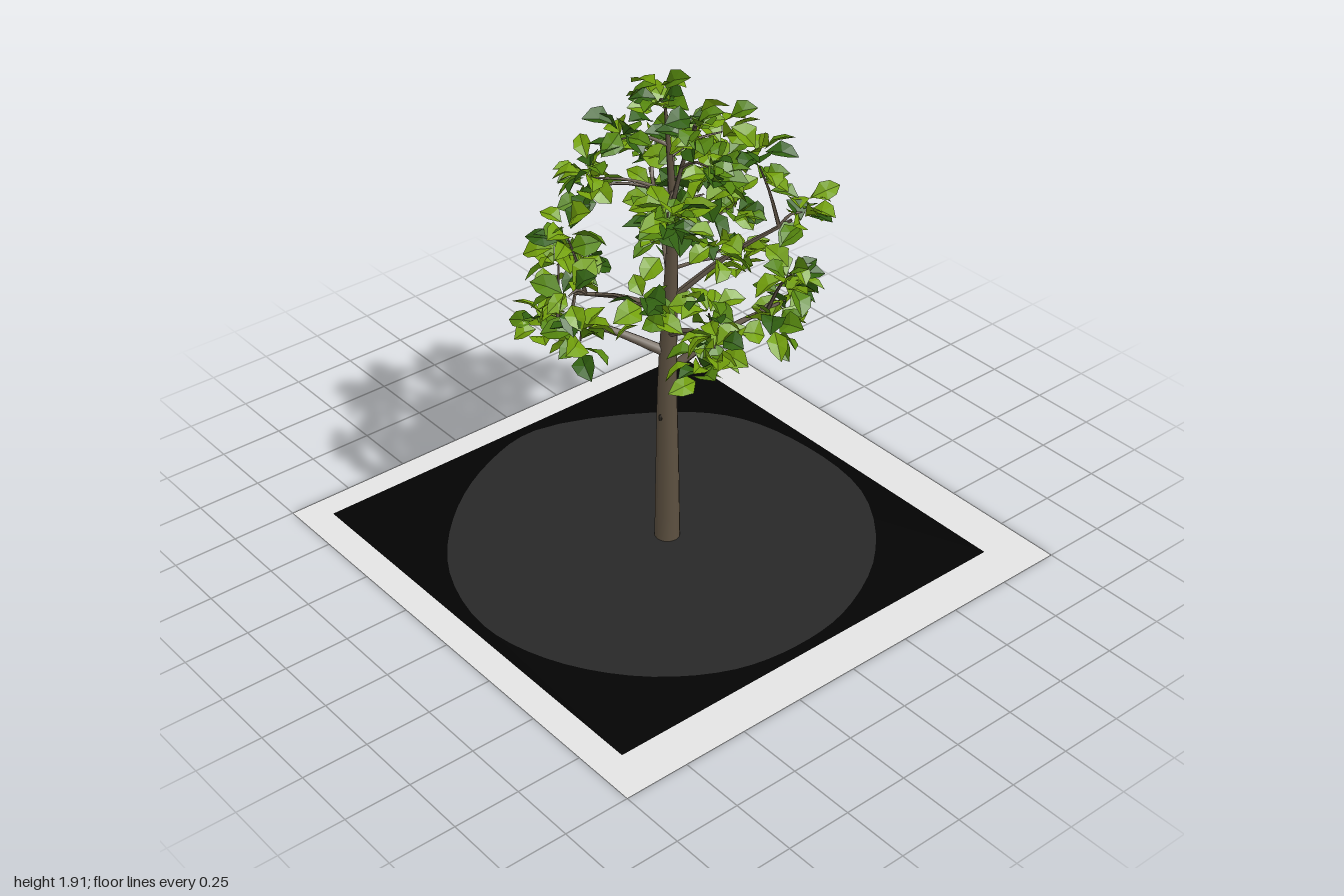
import * as THREE from 'three';
import { mergeGeometries } from 'three/addons/utils/BufferGeometryUtils.js';

const mat = (name, color, flatShading = false) => {
  const m = new THREE.MeshStandardMaterial({ color, flatShading, side: THREE.DoubleSide });
  m.name = name;
  return m;
};

// small seeded generator
let seed = 11;
const rnd = (a = 0, b = 1) => {
  seed = (seed * 16807) % 2147483647;
  return a + (b - a) * (seed / 2147483647);
};
const V = (x, y, z) => new THREE.Vector3(x, y, z);

// tapered limb: a tube whose rings shrink from r0 to r1
function limb(curve, r0, r1, sides = 6, steps = 8, power = 1) {
  const g = new THREE.TubeGeometry(curve, steps, 1, sides, false);
  const p = g.attributes.position, v = V(0, 0, 0);
  for (let i = 0; i < p.count; i++) {
    const t = Math.floor(i / (sides + 1)) / steps, c = curve.getPointAt(t);
    v.fromBufferAttribute(p, i).sub(c).multiplyScalar(r0 + (r1 - r0) * t ** power).add(c);
    p.setXYZ(i, v.x, v.y, v.z);
  }
  g.computeVertexNormals();
  return g;
}

// one broad leaf along +z, folded on its midrib, tip drooping
function leaf(len, wide) {
  const g = new THREE.BufferGeometry();
  const f = wide * 0.3;
  g.setAttribute('position', new THREE.Float32BufferAttribute([
    0, 0, 0, -wide / 2, f, len * 0.4, wide / 2, f, len * 0.4,
    0, 0.006, len * 0.5, -wide * 0.4, f * 0.5, len * 0.74, wide * 0.4, f * 0.5, len * 0.74,
    0, -len * 0.12, len], 3));
  g.setIndex([0, 3, 1, 0, 2, 3, 1, 3, 4, 3, 2, 5, 4, 3, 6, 3, 5, 6]);
  return g;
}

// main limbs: height on the trunk, then the end point and thickness
const limbs = [
  [0.7, -0.3, 1.0, -0.27, 0.022], [0.72, 0.22, 0.98, -0.33, 0.02], [0.8, -0.27, 0.95, 0.33, 0.021],
  [0.88, 0.33, 1.02, 0.05, 0.016], [0.96, 0, 1.2, 0.4, 0.015], [1.02, 0.3, 1.36, -0.3, 0.014],
  [1.08, -0.3, 1.36, -0.17, 0.013], [1.4, 0.17, 1.77, 0.02, 0.009],
];

// centres of the foliage clusters
const clusters = [
  [-0.38, 1.03, 0.08], [-0.27, 0.95, 0.34], [0.37, 1.06, 0.1], [0.3, 0.96, 0.1],
  [0.02, 1.04, 0.4], [0.33, 1.0, -0.2], [0.2, 0.98, -0.38], [-0.33, 1.03, -0.25],
  [-0.1, 1.0, -0.42], [-0.38, 1.2, -0.24], [-0.15, 1.2, -0.45], [0.36, 1.2, 0.12],
  [0.37, 1.22, -0.24], [-0.25, 1.2, 0.28], [0.22, 1.22, 0.28], [0, 1.22, 0.43],
  [-0.33, 1.4, -0.2], [0.31, 1.4, -0.34], [-0.04, 1.42, 0.4], [0.33, 1.4, 0.06],
  [-0.13, 1.38, -0.37], [0.1, 1.4, 0.06], [-0.32, 1.38, 0.1], [-0.17, 1.52, 0.2],
  [0.18, 1.5, 0.15], [0.22, 1.58, -0.22], [-0.14, 1.54, -0.15], [0.04, 1.43, -0.13],
  [-0.1, 1.67, 0.12], [0.21, 1.65, 0], [0.05, 1.65, -0.2], [-0.04, 1.8, 0], [0.17, 1.79, 0.02],
];

export function createModel() {
  const model = new THREE.Group();
  const bark = mat('bark', 0x5c5040), twig = mat('branch bark', 0x665a4c);
  const knot = mat('dark bark', 0x2e2922);
  const light = mat('light leaf', 0x74a20c, true), mid = mat('mid leaf', 0x55860e, true);
  const dark = mat('dark leaf', 0x305f10, true);
  const pale = mat('pale paving', 0xe4e4e4), black = mat('black soil', 0x030303);
  const grey = mat('dark grey bed', 0x282828);
  const add = (name, geo, material, parent = model) => {
    const m = new THREE.Mesh(geo, material);
    m.name = name;
    parent.add(m);
    return m;
  };

  // ground: nested flat rings lying side by side, outlines given as x, z
  const outline = (pts) => pts.map(([x, z]) => new THREE.Vector2(x, -z));
  const rect = (x0, x1, z0, z1) => outline([[x0, z0], [x0, z1], [x1, z1], [x1, z0]]);
  const bedCurve = new THREE.CatmullRomCurve3([
    [-0.855, -0.03], [-0.64, -0.49], [-0.42, -0.7], [-0.1, -0.78], [0.27, -0.74],
    [0.58, -0.51], [0.75, -0.2], [0.785, 0.06], [0.74, 0.32], [0.57, 0.58], [0.3, 0.77],
    [0, 0.84], [-0.34, 0.75], [-0.61, 0.53], [-0.79, 0.25]].map(([x, z]) => V(x, 0, z)), true);
  const bed = outline(bedCurve.getPoints(64).slice(0, 64).map((p) => [p.x, p.z]));
  const hole = new THREE.Path().absarc(0, 0, 0.046, 0, Math.PI * 2).getPoints(10);
  const soil = rect(-0.9, 0.83, -0.825, 0.885);
  const slab = (name, outer, inner, material) => {
    const s = new THREE.Shape(outer);
    s.holes.push(new THREE.Path(inner));
    add(name, new THREE.ShapeGeometry(s).rotateX(-Math.PI / 2), material);
  };
  slab('groundBorder', rect(-1, 1, -1, 1), soil, pale);
  slab('groundSquare', soil, bed, black);
  slab('groundBed', bed, hole, grey);

  // trunk, open at the foot, with a few knots
  const trunk = new THREE.CatmullRomCurve3([[0, 0, 0], [0, 0.35, 0], [0, 0.7, 0],
    [0.005, 1.05, -0.01], [0.01, 1.4, -0.015], [-0.01, 1.76, 0]].map((p) => V(...p)));
  add('trunk', limb(trunk, 0.048, 0.005, 12, 16, 1.3), bark);
  for (const [x, y, z] of [[-0.039, 0.24, 0.01], [0.005, 0.54, 0.033], [0.005, 0.44, -0.036]]) {
    add('knot', new THREE.IcosahedronGeometry(0.011, 0).scale(1, 1.8, 1), knot).position.set(x, y, z);
  }

  // main limbs leave the trunk and curve upward
  const joints = trunk.getPoints(40).filter((p) => p.y > 0.9);
  for (const [y0, x, y, z, thick] of limbs) {
    const a = trunk.getPointAt(y0 / 1.76), end = V(x, y, z);
    const curve = new THREE.CatmullRomCurve3([a, a.clone().lerp(end, 0.5).add(V(0, 0.025, 0)), end]);
    add('limb', limb(curve, thick, 0.006, 7), twig);
    joints.push(...curve.getPoints(10).slice(3, 10));
  }

  // each cluster hangs on a twig from the nearest joint below it, leaves radiate from its end
  const up = V(0, 1, 0);
  for (const [x, y, z] of clusters) {
    const r = Math.hypot(x, z), end = V(x, y - 0.02, z);
    const cost = (p) => p.distanceTo(end) + 3 * Math.max(0, p.y - end.y + 0.03);
    const a = joints.reduce((best, p) => (cost(p) < cost(best) ? p : best));
    const bend = a.clone().lerp(end, 0.5).add(V(0, 0.02, 0));
    add('twig', limb(new THREE.CatmullRomCurve3([a, bend, end]), 0.008, 0.003, 5, 5), twig);

    const sets = [[], [], []];
    const out = V(x, 0, z).normalize();
    const size = r < 0.15 && y < 1.5 ? 1.35 : 1; // larger leaves deep inside the crown
    const count = Math.floor(rnd(12, 15));
    for (let i = 0; i < count; i++) {
      const ang = i * 2.4 + rnd(-0.4, 0.4);
      const dir = V(Math.cos(ang), rnd(-0.6, 0.9), Math.sin(ang)).addScaledVector(out, 0.25).normalize();
      const root = end.clone().addScaledVector(dir, rnd(0.005, 0.035));
      root.y += rnd(-0.06, 0.06);
      const g = leaf(size * rnd(0.08, 0.125), size * rnd(0.06, 0.095)).rotateZ(rnd(-0.9, 0.9));
      const side = V(0, 0, 0).crossVectors(up, dir).normalize();
      const nrm = V(0, 0, 0).crossVectors(dir, side);
      g.applyMatrix4(new THREE.Matrix4().makeBasis(side, nrm, dir).setPosition(root));
      const k = rnd() + (r < 0.2 && y < 1.7 ? 0.35 : 0);
      sets[k < 0.5 ? 0 : k < 0.8 ? 1 : 2].push(g);
    }
    const foliage = new THREE.Group();
    foliage.name = 'leafCluster';
    model.add(foliage);
    [light, mid, dark].forEach((m, i) => {
      if (!sets[i].length) return;
      const g = mergeGeometries(sets[i]);
      g.computeVertexNormals();
      add('leaves', g, m, foliage);
    });
  }
  return model;
}
